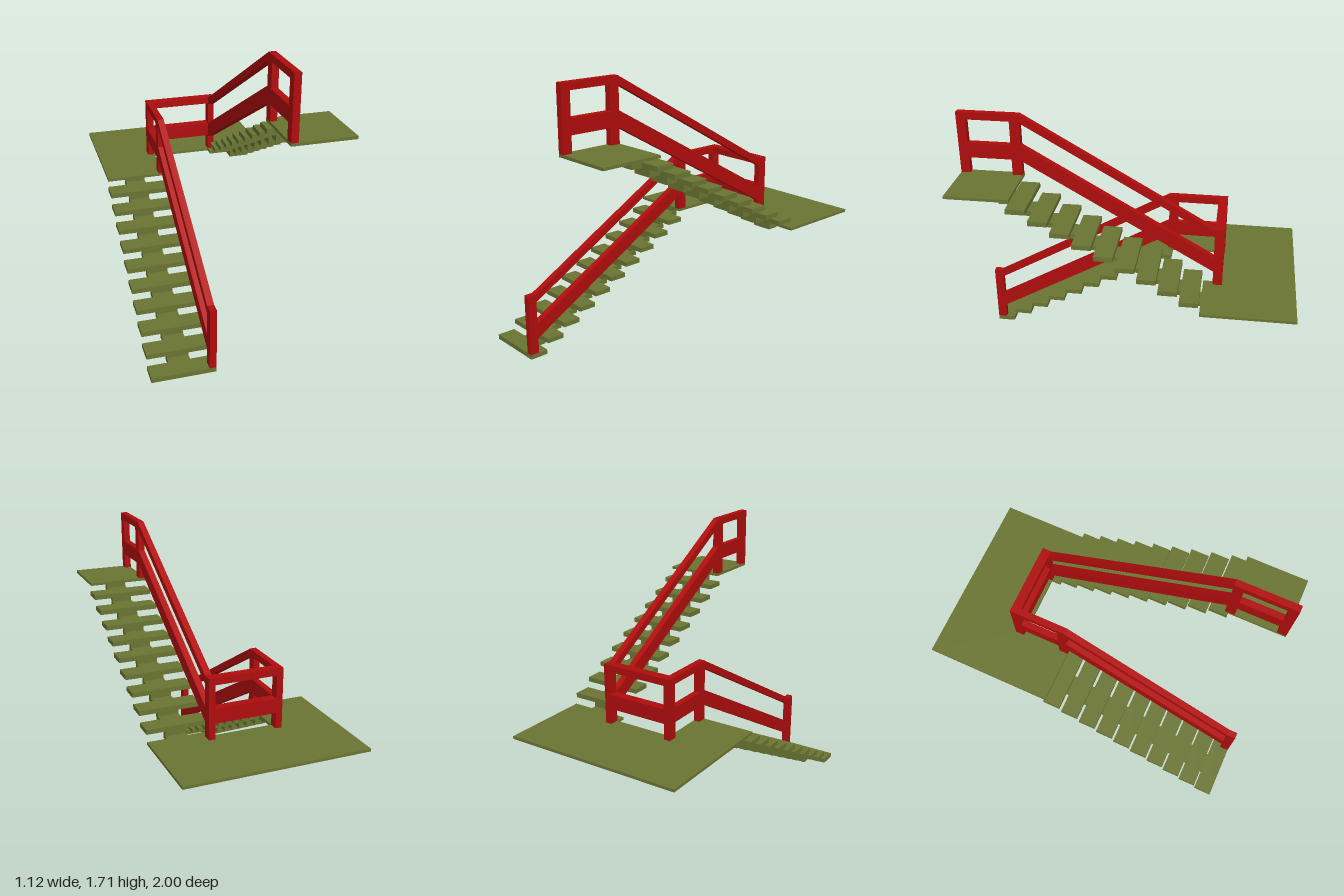
import * as THREE from 'three';

const green = new THREE.MeshStandardMaterial({ color: 0x6b7533, flatShading: true });
const red = new THREE.MeshStandardMaterial({ color: 0xb00d0d, flatShading: true });

// Box given by its extents on each axis.
function block(parent, name, material, [x0, x1], [y0, y1], [z0, z1]) {
  const mesh = new THREE.Mesh(new THREE.BoxGeometry(x1 - x0, y1 - y0, z1 - z0), material);
  mesh.position.set((x0 + x1) / 2, (y0 + y1) / 2, (z0 + z1) / 2);
  mesh.name = name;
  parent.add(mesh);
  return mesh;
}

// Rail along z whose top climbs from yA at zA to yB at zB (zA < zB), with plumb ends.
function slopedRail(parent, name, x, zA, yA, zB, yB, height) {
  const mesh = block(parent, name, red, x, [-height, 0], [zA, zB]);
  const pos = mesh.geometry.attributes.position;
  const slope = (yB - yA) / (zB - zA);
  for (let i = 0; i < pos.count; i++) pos.setY(i, pos.getY(i) + pos.getZ(i) * slope);
  mesh.geometry.computeVertexNormals();
  mesh.position.y += (yA + yB) / 2;
}

const PITCH = 0.1222, RISE = 0.0654, THICK = 0.029;
const TREAD = 0.112, SPINE = 0.182, RISER = 0.032;
const range = (a, b) => [Math.min(a, b), Math.max(a, b)];

// Flight of treads on a zigzag central spine; dir is the climbing direction along z.
function flight(name, count, side, zStart, yTop, dir, yEnd) {
  const group = new THREE.Group();
  group.name = name;
  const wide = range(side * 0.19, side * 0.56);
  const narrow = range(side * 0.312, side * 0.438);
  for (let i = 0; i < count; i++) {
    const z = zStart + dir * PITCH * i;
    const top = yTop + RISE * i;
    const end = z + dir * SPINE;
    const next = i === count - 1 ? yEnd : top + RISE - THICK;
    block(group, 'tread', green, wide, [top - THICK, top], range(z, z + dir * TREAD));
    block(group, 'spineStep', green, narrow, [top - THICK, top], range(z, end));
    block(group, 'spineRiser', green, narrow, [top - THICK, next], range(end, end - dir * RISER));
  }
  return group;
}

export function createModel() {
  const model = new THREE.Group();
  model.name = 'staircase';

  // Two flights running in opposite directions
  model.add(flight('lowerFlight', 10, -1, 1, THICK, -1, 0.665));
  const upper = flight('upperFlight', 9, 1, -0.438, 0.751, 1, 1.318);
  block(upper, 'spineFoot', green, [0.312, 0.438], [0.655, 0.678], [-0.45, -0.378]);
  block(upper, 'spineRiser', green, [0.312, 0.438], [0.655, 0.724], [-0.41, -0.378]);
  model.add(upper);

  // Stepped middle landing as one slab, and the top landing
  const outline = [[-0.56, 1], [0.56, 1], [0.56, 0.445], [0.19, 0.445],
    [0.19, 0.505], [-0.19, 0.505], [-0.19, 0.193], [-0.56, 0.193]];
  const shape = new THREE.Shape(outline.map(([x, z]) => new THREE.Vector2(x, z)));
  const slab = new THREE.ExtrudeGeometry(shape, { depth: 0.017, bevelEnabled: false });
  slab.rotateX(-Math.PI / 2);
  const landing = new THREE.Mesh(slab, green);
  landing.name = 'middleLanding';
  landing.position.y = 0.663;
  model.add(landing);
  block(model, 'topLanding', green, [0.19, 0.56], [1.316, 1.333], [0.628, 1]);

  // Railing
  const rail = new THREE.Group();
  rail.name = 'railing';
  model.add(rail);
  const L = [-0.23, -0.19], R = [0.19, 0.23];
  const posts = [
    [L, 0.029, 0.404, 0.945, 1],
    [L, 0.68, 1.054, -0.25, -0.193],
    [L, 0.68, 1.054, -0.56, -0.503],
    [R, 0.68, 1.054, -0.56, -0.503],
    [R, 1.333, 1.705, 0.631, 0.69],
    [R, 1.333, 1.705, 0.945, 1],
  ];
  for (const [x, y0, y1, z0, z1] of posts) block(rail, 'post', red, x, [y0, y1], [z0, z1]);

  // Hand rail and wider guard board follow the same path at two heights
  for (const [name, drop, flat, steep] of [['handRail', 0, 0.043, 0.048], ['guardBoard', 0.186, 0.09, 0.095]]) {
    const mid = [1.054 - drop - flat, 1.054 - drop];
    const top = [1.705 - drop - flat, 1.705 - drop];
    slopedRail(rail, name, L, -0.193, 1.052 - drop, 0.945, 0.404 - drop, steep);
    block(rail, name, red, L, mid, [-0.503, -0.25]);
    block(rail, name, red, [-0.19, 0.19], mid, [-0.56, -0.503]);
    slopedRail(rail, name, R, -0.503, 1.052 - drop, 0.631, 1.703 - drop, steep);
    block(rail, name, red, R, top, [0.69, 0.945]);
  }
  return model;
}
